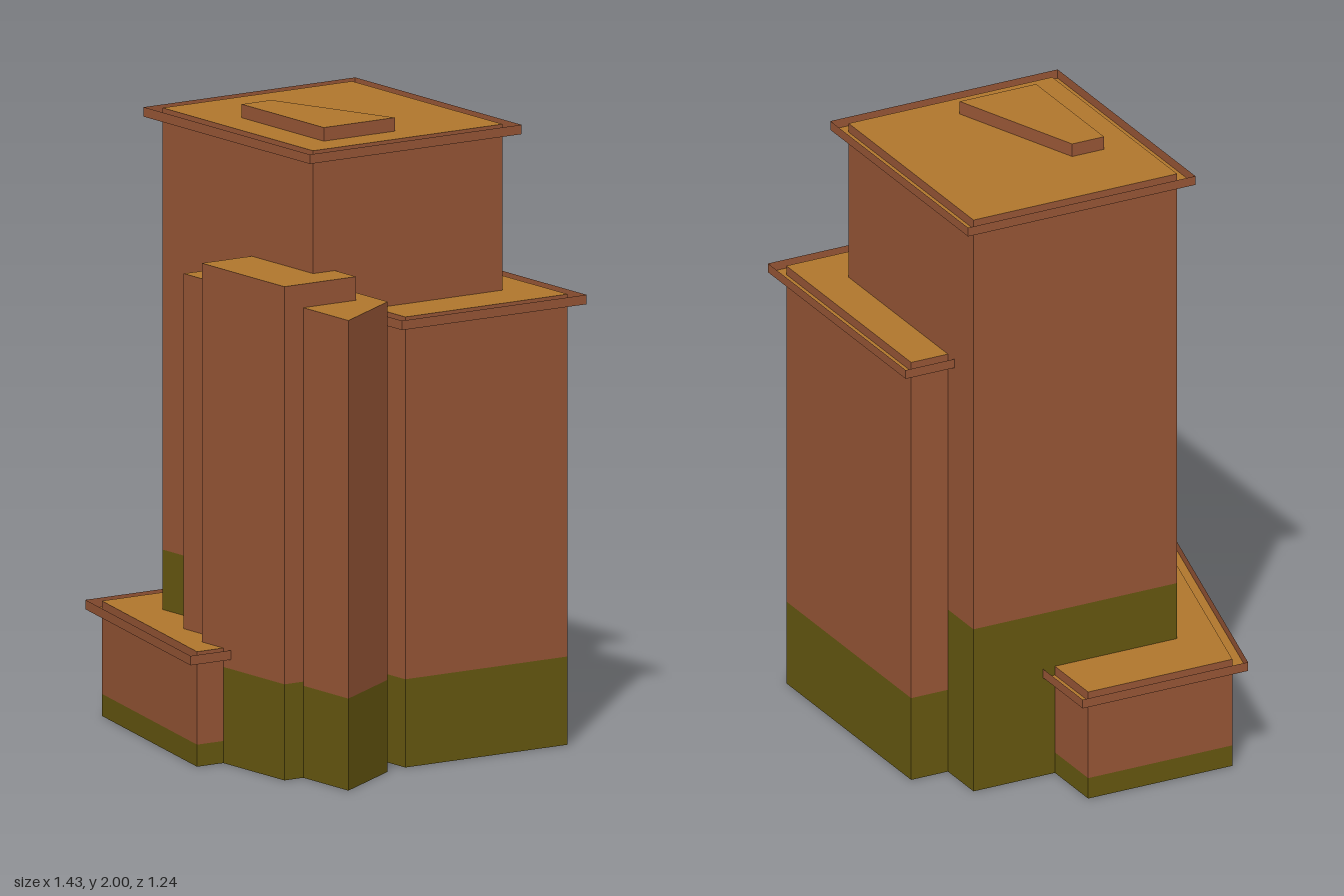
import * as THREE from 'three';

const brick = new THREE.MeshStandardMaterial({ color: 0x985636, side: THREE.DoubleSide });
const roofTan = new THREE.MeshStandardMaterial({ color: 0xb0762d, side: THREE.DoubleSide });
const baseOlive = new THREE.MeshStandardMaterial({ color: 0x665810, side: THREE.DoubleSide });
brick.name = 'brick';
roofTan.name = 'roofTan';
baseOlive.name = 'baseOlive';

// Footprints are [x, z] corners, counter-clockwise seen from above (front edge runs towards +x).
const rect = (x0, x1, z0, z1) => [[x0, z1], [x1, z1], [x1, z0], [x0, z0]];

// Moves every edge of a convex footprint inwards by d.
function inset(points, d) {
  const n = points.length;
  const dir = (a, b) => {
    const l = Math.hypot(b[0] - a[0], b[1] - a[1]);
    return [(b[0] - a[0]) / l, (b[1] - a[1]) / l];
  };
  return points.map((p, i) => {
    const u = dir(points[(i + n - 1) % n], p);
    const v = dir(p, points[(i + 1) % n]);
    const k = d / (u[0] * v[1] - u[1] * v[0]);
    return [p[0] + k * (v[0] - u[0]), p[1] + k * (v[1] - u[1])];
  });
}

// Ring of upright wall quads between two heights.
function walls(points, y0, y1) {
  const pos = [];
  points.forEach((a, i) => {
    const b = points[(i + 1) % points.length];
    pos.push(a[0], y0, a[1], b[0], y0, b[1], b[0], y1, b[1]);
    pos.push(a[0], y0, a[1], b[0], y1, b[1], a[0], y1, a[1]);
  });
  const g = new THREE.BufferGeometry();
  g.setAttribute('position', new THREE.Float32BufferAttribute(pos, 3));
  g.computeVertexNormals();
  return g;
}

// Flat roof surface at height y, with an optional opening.
function slab(points, y, hole) {
  const to2 = (list) => list.map(([x, z]) => new THREE.Vector2(x, -z));
  const shape = new THREE.Shape(to2(points));
  if (hole) shape.holes.push(new THREE.Path(to2(hole)));
  return new THREE.ShapeGeometry(shape).rotateX(-Math.PI / 2).translate(0, y, 0);
}

function block({ name, points, bottom = 0, base = 0, top, parapet }) {
  const group = new THREE.Group();
  group.name = name;
  const add = (part, geometry, material) => {
    const mesh = new THREE.Mesh(geometry, material);
    mesh.name = part;
    group.add(mesh);
  };
  if (base) add('baseBand', walls(points, bottom, base), baseOlive);
  add('walls', walls(points, base || bottom, top), brick);
  if (parapet) {
    // Rim, inner faces and sunken roof floor
    const inner = inset(points, 0.042);
    const floor = top - 0.03;
    add('parapetRim', slab(points, top, inner), roofTan);
    add('parapetInside', walls([...inner].reverse(), floor, top), brick);
    add('roof', slab(inner, floor), roofTan);
  } else {
    add('roof', slab(points, top), roofTan);
  }
  return group;
}

export function createModel() {
  const model = new THREE.Group();
  model.name = 'towerBlock';
  const parts = [
    { name: 'mainTower', points: rect(-0.48, 0.335, -0.44, 0.28), base: 0.555, top: 1.957, parapet: true },
    { name: 'rearBlock', points: rect(-0.313, 0.502, -0.57, 0.047), base: 0.28, top: 1.43, parapet: true },
    { name: 'podium', points: [[-0.697, 0.358], [0.12, 0.57], [0.12, -0.152], [-0.697, -0.152]],
      base: 0.07, top: 0.365, parapet: true },
    { name: 'frontBay', points: rect(0.003, 0.45, 0.198, 0.47), base: 0.305, top: 1.567 },
    { name: 'wedgeBay', points: [[-0.197, 0.398], [0.694, 0.398], [0.525, 0.13], [-0.197, 0.13]],
      base: 0.292, top: 1.492 },
    { name: 'roofHousing', points: [[-0.212, 0.167], [0.232, 0.167], [0.232, -0.103], [-0.212, 0.054]],
      bottom: 1.927, top: 2 },
  ];
  parts.forEach((p) => model.add(block(p)));
  return model;
}
